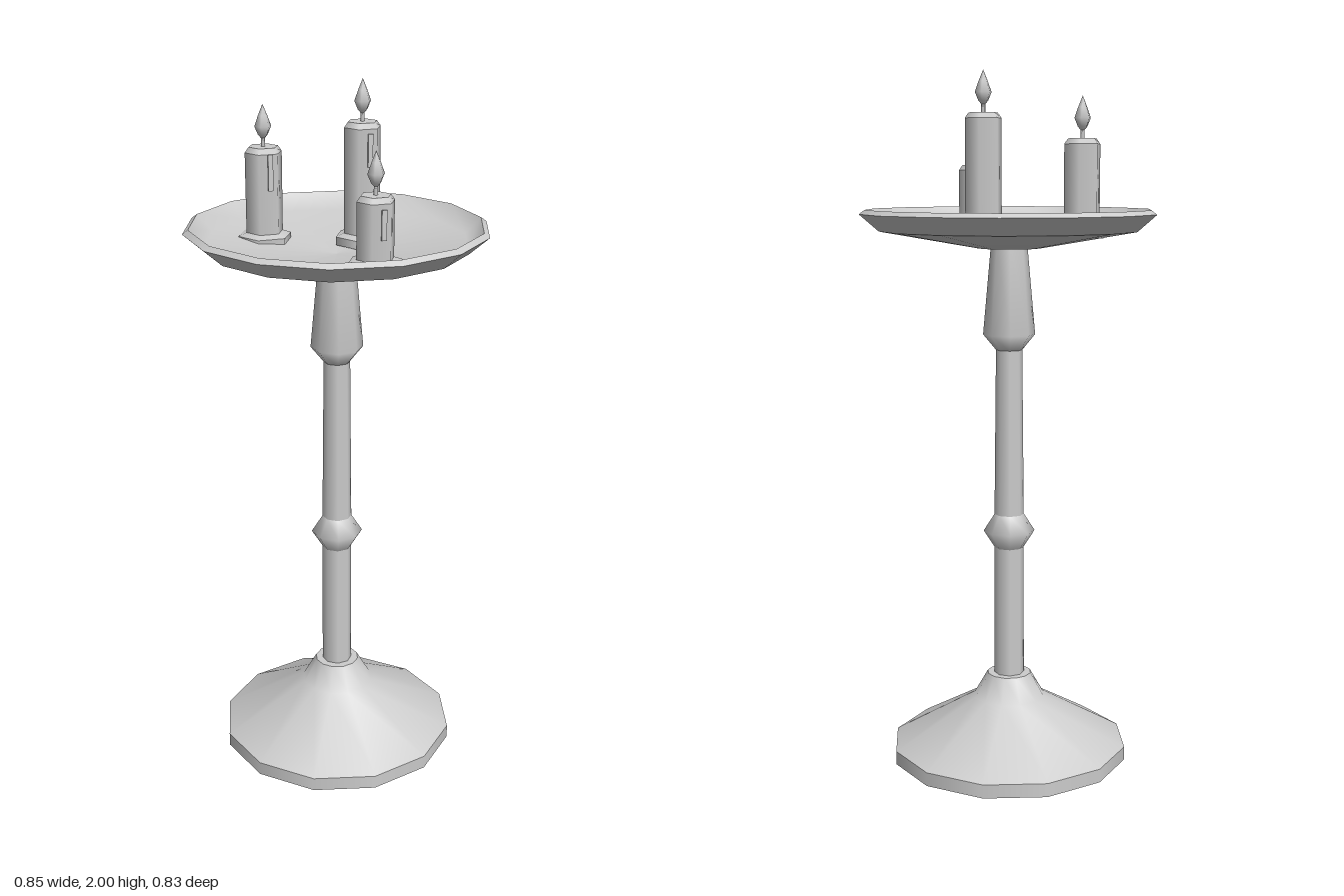
import * as THREE from 'three';

const stone = new THREE.MeshStandardMaterial({ color: 0xcccccc });
stone.name = 'light grey';

// Smooth lathe with a corner on the x axis
function turned(name, points, sides, parent) {
  const profile = points.map(([r, y]) => new THREE.Vector2(r, y));
  const mesh = new THREE.Mesh(new THREE.LatheGeometry(profile, sides, Math.PI / 2), stone);
  mesh.name = name;
  parent.add(mesh);
  return mesh;
}

// One candle with holder, wax drip, wick and flame; floor is the tray height under it
function makeCandle(name, x, z, top, dripTop, dripLength) {
  const candle = new THREE.Group();
  candle.name = name;
  candle.position.set(x, 0, z);
  const floor = 1.55;
  turned('holderSide', [[0.077, floor - 0.005], [0.077, floor + 0.018]], 6, candle);
  turned('holderTop', [[0.077, floor + 0.018], [0.05, floor + 0.028]], 6, candle);
  turned('waxBody', [[0.053, floor], [0.053, top - 0.015]], 6, candle);
  turned('waxShoulder', [[0.053, top - 0.015], [0.042, top]], 6, candle);
  turned('waxTop', [[0.042, top], [0, top]], 6, candle);
  turned('wick', [[0.006, top], [0.006, top + 0.025]], 6, candle);
  turned('flame', [[0, top + 0.016], [0.014, top + 0.032], [0.024, top + 0.055],
    [0.013, top + 0.085], [0, top + 0.115]], 6, candle);

  // Drip lies against the face turned 30 degrees from the x axis
  const drip = new THREE.Mesh(new THREE.BoxGeometry(0.01, dripLength, 0.014), stone);
  drip.name = 'waxDrip';
  drip.position.set(0.043, dripTop - dripLength / 2, 0.018);
  drip.rotation.y = -Math.PI / 6;
  candle.add(drip);
  return candle;
}

export function createModel() {
  const model = new THREE.Group();
  model.name = 'candleStand';

  // Foot
  turned('footUnderside', [[0, 0], [0.35, 0]], 12, model);
  turned('footEdge', [[0.35, 0], [0.35, 0.04]], 12, model);
  turned('footSlope', [[0.35, 0.04], [0.105, 0.18], [0.065, 0.25]], 12, model);
  turned('footTop', [[0.065, 0.25], [0, 0.25]], 12, model);

  // Pole with a knot and a flared capital
  turned('lowerPole', [[0.044, 0.24], [0.043, 0.635]], 8, model);
  turned('knot', [[0.043, 0.635], [0.075, 0.685], [0.043, 0.735]], 8, model);
  turned('upperPole', [[0.043, 0.735], [0.038, 1.22]], 8, model);
  turned('capital', [[0.038, 1.22], [0.075, 1.265], [0.052, 1.52]], 8, model);

  // Dished tray
  turned('trayUnderside', [[0, 1.51], [0.09, 1.511], [0.37, 1.56]], 14, model);
  turned('trayWall', [[0.37, 1.56], [0.425, 1.608]], 14, model);
  turned('trayRim', [[0.425, 1.608], [0.409, 1.62]], 14, model);
  turned('trayDish', [[0.409, 1.62], [0.365, 1.575], [0, 1.535]], 14, model);

  // Candles
  model.add(makeCandle('rightCandle', -0.21, 0.068, 1.815, 1.80, 0.1));
  model.add(makeCandle('middleCandle', 0, -0.106, 1.885, 1.857, 0.09));
  model.add(makeCandle('leftCandle', 0.208, 0.085, 1.745, 1.715, 0.08));
  return model;
}
